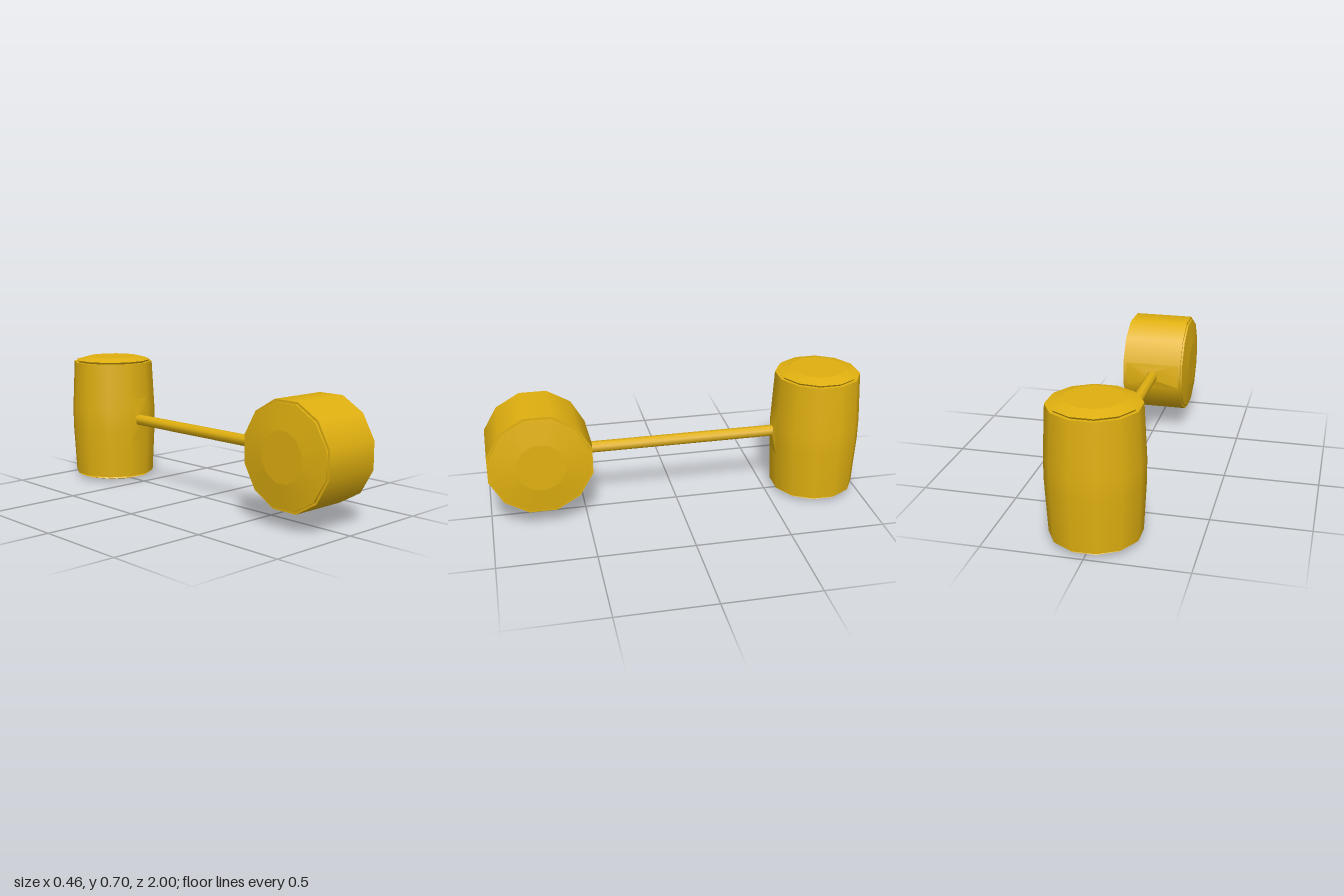
import * as THREE from 'three';

const SIDES = 12;
const gold = new THREE.MeshStandardMaterial({ color: 0xe0b010 });

// Twelve-sided turned part, flats facing the axes; profile is [flat radius, height] from bottom to top
function turned(name, profile) {
  const k = 1 / Math.cos(Math.PI / SIDES);
  const points = profile.map(([r, y]) => new THREE.Vector2(r * k, y));
  const mesh = new THREE.Mesh(new THREE.LatheGeometry(points, SIDES, Math.PI / SIDES), gold);
  mesh.name = name;
  return mesh;
}

// Body with an identical cap on each end, centred on its own axis
function cappedBody(name, body, cap) {
  const group = new THREE.Group();
  group.name = name;
  group.add(turned(name + 'Body', body));
  for (const flip of [0, Math.PI]) {
    const end = new THREE.Group();
    end.name = name + 'Cap';
    // each pair is its own band so the edges stay crisp
    for (let i = 0; i < cap.length - 1; i++) end.add(turned(name + 'CapBand', [cap[i], cap[i + 1]]));
    end.rotation.x = flip;
    group.add(end);
  }
  return group;
}

// Shallow four-sided swelling where the rod meets a flat; small end along +z
function flare(halfX, halfY, depth) {
  const tip = 0.028;
  const geo = new THREE.CylinderGeometry(tip * Math.SQRT2, Math.SQRT2, depth, 4, 1, true);
  geo.rotateY(Math.PI / 4).rotateX(Math.PI / 2);
  const p = geo.attributes.position;
  for (let i = 0; i < p.count; i++) {
    if (p.getZ(i) < 0) p.setXY(i, p.getX(i) * halfX, p.getY(i) * halfY);
  }
  geo.computeVertexNormals();
  const mesh = new THREE.Mesh(geo, gold);
  mesh.name = 'rodFlare';
  return mesh;
}

export function createModel() {
  const model = new THREE.Group();
  model.name = 'mallet';

  // Upright barrel at the back
  const barrel = cappedBody('barrel',
    [[0.218, -0.324], [0.2315, -0.055], [0.2315, 0.055], [0.218, 0.324]],
    [[0.218, 0.324], [0.2, 0.324], [0.207, 0.334], [0.14, 0.3525], [0, 0.3525]]);
  barrel.position.set(0, 0.3525, -0.769);

  // Drum lying across the front
  const drum = cappedBody('drum',
    [[0.266, -0.163], [0.266, 0.163]],
    [[0.266, 0.163], [0.254, 0.163], [0.254, 0.173], [0.125, 0.191], [0, 0.191]]);
  drum.rotation.z = Math.PI / 2;
  drum.position.set(0, 0.36, 0.734);

  // Connecting rod
  const rod = new THREE.Mesh(new THREE.CylinderGeometry(0.03, 0.03, 1.06, 8, 1), gold);
  rod.name = 'rod';
  rod.geometry.rotateY(Math.PI / 8).rotateX(Math.PI / 2);
  rod.position.set(0, 0.356, -0.04);

  // Swellings at both rod ends
  const backFlare = flare(0.058, 0.13, 0.014);
  backFlare.position.set(0, 0.356, -0.535);
  const frontFlare = flare(0.16, 0.07, 0.014);
  frontFlare.rotation.y = Math.PI;
  frontFlare.position.set(0, 0.36, 0.462);

  model.add(barrel, drum, rod, backFlare, frontFlare);
  return model;
}
